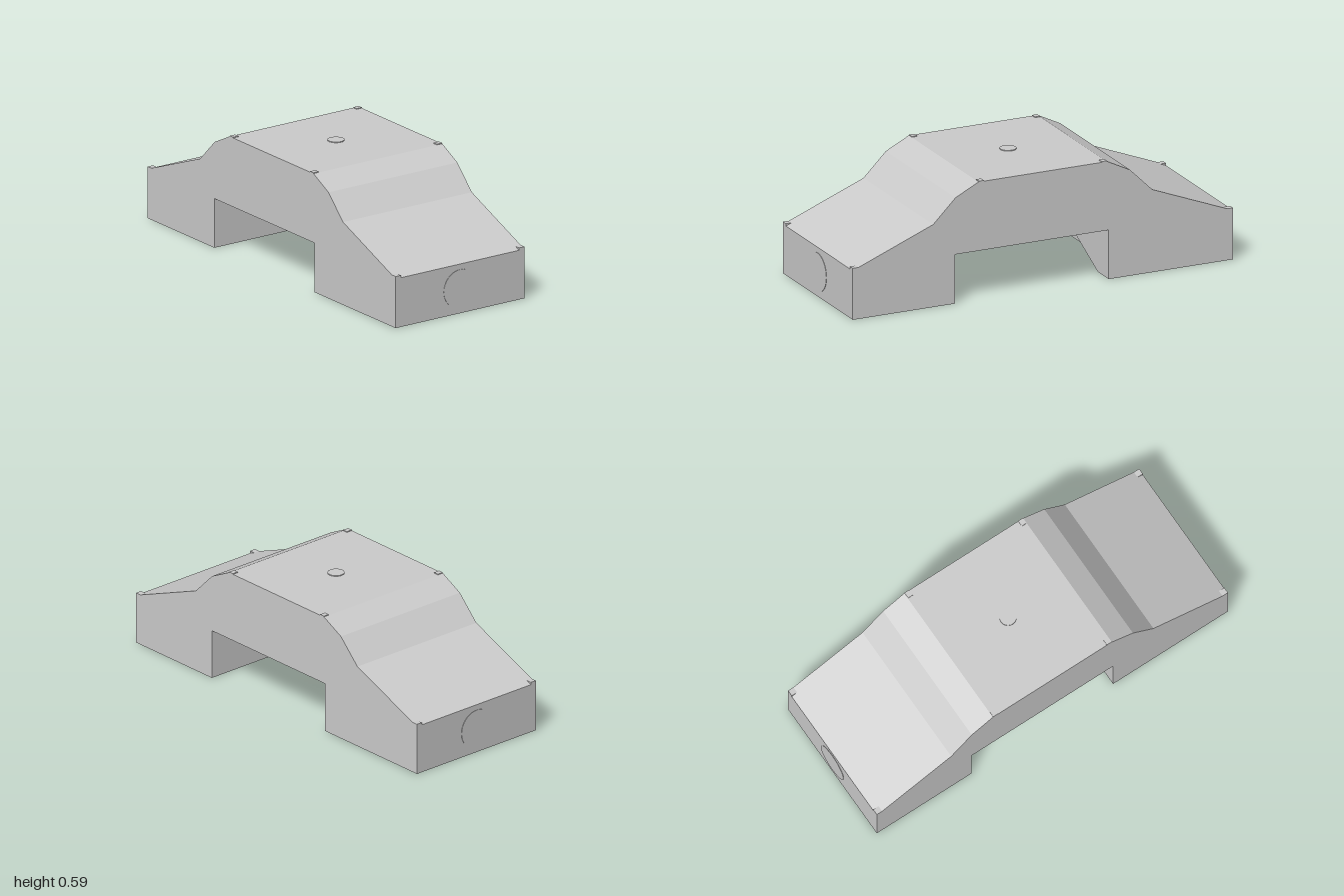
import * as THREE from 'three';

const HALF_W = 0.375, HALF_L = 0.998, ROOF = 0.588, ARCH = 0.245;

export function createModel() {
  const group = new THREE.Group();
  const mat = new THREE.MeshStandardMaterial({ color: 0xcccccc, flatShading: true });

  const add = (name, geometry, parent = group) => {
    const mesh = new THREE.Mesh(geometry, mat);
    mesh.name = name;
    parent.add(mesh);
    return mesh;
  };
  const prism = (points, depth) => new THREE.ExtrudeGeometry(
    new THREE.Shape(points.map(([x, y]) => new THREE.Vector2(x, y))),
    { depth, bevelEnabled: false });

  // Bridge body: side profile (z, y) of one half, mirrored and extruded across x
  const half = [[0.46, ARCH], [0.46, 0], [HALF_L, 0], [HALF_L, 0.245],
    [0.575, 0.412], [0.458, 0.528], [0.338, ROOF]];
  const profile = [...half, ...half.map(([z, y]) => [-z, y]).reverse()];
  const body = prism(profile, HALF_W * 2);
  body.translate(0, 0, -HALF_W).rotateY(-Math.PI / 2);
  add('body', body);

  // Both ends are the same, turned half a turn about y
  for (const end of ['front', 'back']) {
    const part = new THREE.Group();
    part.name = end + 'End';
    if (end === 'back') part.rotation.y = Math.PI;
    group.add(part);

    // Slanted locking step on the inner face of the foot
    const step = prism([[-HALF_W, 0], [-0.26, 0], [0.255, ARCH], [-HALF_W, ARCH]], 0.115);
    add('footStep', step.translate(0, 0, 0.345), part);

    // Corner nubs at the foot of the ramp and at the edge of the roof
    for (const s of [-1, 1]) {
      add('rampNub', new THREE.BoxGeometry(0.031, 0.03, 0.033)
        .translate(s * 0.3595, 0.242, 0.9815), part);
      add('roofNub', new THREE.BoxGeometry(0.031, 0.02, 0.026)
        .translate(s * 0.3595, 0.582, 0.323), part);
    }

    // Nearly flush round plate on the end face
    add('endDisc', new THREE.CylinderGeometry(0.095, 0.095, 0.01, 32)
      .rotateX(Math.PI / 2).translate(0, 0.123, 0.995), part);
  }

  // Small round plate on the roof
  add('roofDisc', new THREE.CylinderGeometry(0.04, 0.04, 0.01, 32).translate(0, 0.587, 0));

  return group;
}
